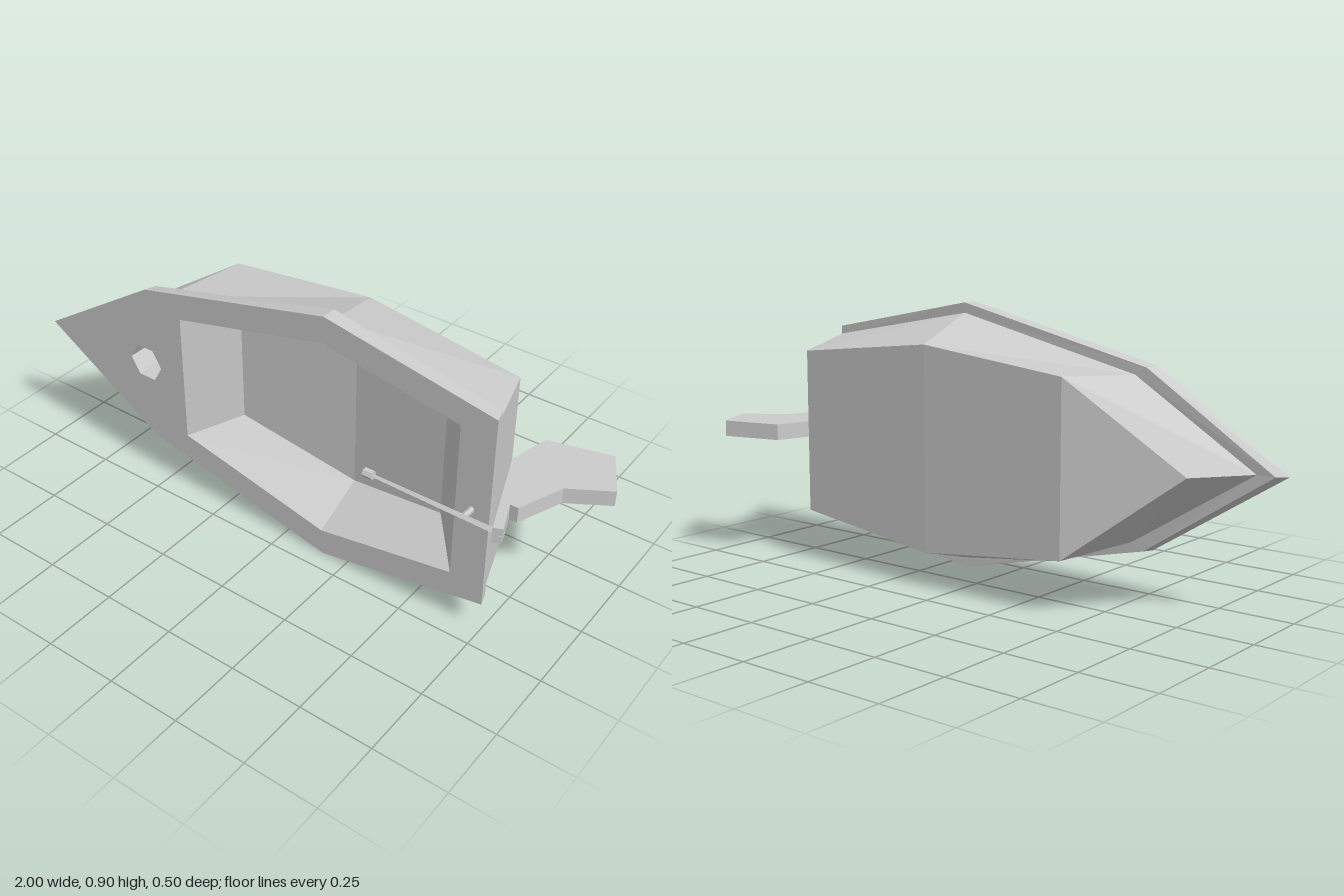
import * as THREE from 'three';

const CY = 0.45; // centreline height
const material = new THREE.MeshStandardMaterial({ color: 0xcccccc, flatShading: true });

// Closed seven-point ring from four stations [x, halfWidth, z]: bow, fore, mid, stern
function ring([bow, fore, mid, stern]) {
  const at = ([x, h, z], s) => [x, CY + s * h, z];
  return [at(bow, 1), at(fore, 1), at(mid, 1), at(stern, 1), at(stern, -1), at(mid, -1), at(fore, -1)];
}

// Quad walls between successive rings
function loft(...rings) {
  const out = [];
  for (let r = 0; r + 1 < rings.length; r++) {
    const a = rings[r], b = rings[r + 1];
    a.forEach((p, i) => {
      const j = (i + 1) % a.length;
      out.push(p, a[j], b[j], p, b[j], b[i]);
    });
  }
  return out;
}

// Panels that close a ring; they may crease at the stations
function cap(r, flip) {
  const tris = [[0, 1, 6], [1, 2, 5], [1, 5, 6], [2, 3, 4], [2, 4, 5]];
  return tris.flatMap(([a, b, c]) => (flip ? [r[a], r[c], r[b]] : [r[a], r[b], r[c]]));
}

function add(group, name, geometry) {
  const mesh = new THREE.Mesh(geometry, material);
  mesh.name = name;
  group.add(mesh);
  return mesh;
}

function fromPoints(points) {
  const g = new THREE.BufferGeometry();
  g.setAttribute('position', new THREE.Float32BufferAttribute(points.flat(), 3));
  g.computeVertexNormals();
  return g;
}

const outline = (pts) => pts.map(([x, y]) => new THREE.Vector2(x, y));

// Four- or more-sided rod along x
function rod(group, name, x0, x1, r0, r1, z, sides = 4) {
  const g = new THREE.CylinderGeometry(r1, r0, x1 - x0, sides);
  g.rotateZ(-Math.PI / 2);
  g.translate((x0 + x1) / 2, CY, z);
  return add(group, name, g);
}

export function createModel() {
  const boat = new THREE.Group();
  boat.name = 'boat';
  const deckZ = 0.185;

  // Rings from the deck edge down to the bottom
  const deckEdge = ring([[-1, 0, deckZ], [-0.55, 0.287, deckZ], [0.16, 0.45, deckZ], [0.75, 0.34, deckZ]]);
  const rimLow = ring([[-0.97, 0, 0.155], [-0.54, 0.284, 0.143], [0.16, 0.449, 0.132], [0.737, 0.34, 0.142]]);
  const hullTop = ring([[-0.91, 0, 0.155], [-0.5, 0.26, 0.142], [0.16, 0.415, 0.133], [0.734, 0.313, 0.142]]);
  const hullLow = ring([[-0.78, 0, -0.015], [-0.43, 0.275, -0.142], [0.1, 0.335, -0.142], [0.652, 0.277, -0.114]]);
  add(boat, 'rim', fromPoints(loft(deckEdge, rimLow, hullTop)));
  add(boat, 'hull', fromPoints([...loft(hullTop, hullLow), ...cap(hullLow)]));

  // Cockpit well
  const opening = ring([[-0.405, 0, deckZ], [-0.405, 0.228, deckZ], [0.155, 0.357, deckZ], [0.635, 0.273, deckZ]]);
  const floor = ring([[-0.275, 0, 0.04], [-0.275, 0.17, 0.04], [0.155, 0.267, 0.005], [0.505, 0.205, 0.04]]);
  add(boat, 'cockpit', fromPoints([...loft(floor, opening), ...cap(floor, true)]));

  // Mast socket, hexagonal and recessed
  const hex = (r, z) => Array.from({ length: 6 }, (_, i) => {
    const a = -i * Math.PI / 3;
    return [-0.57 + r * Math.cos(a), CY + r * Math.sin(a), z];
  });
  const socketTop = hex(0.066, deckZ), socketLow = hex(0.066, 0.085);
  const socketFloor = [];
  for (let i = 1; i < 5; i++) socketFloor.push(socketLow[0], socketLow[i + 1], socketLow[i]);
  add(boat, 'mastSocket', fromPoints([...loft(socketLow, socketTop), ...socketFloor]));

  // Deck with openings for cockpit and mast
  const deck = new THREE.Shape(outline(deckEdge));
  deck.holes.push(new THREE.Path(outline(opening)), new THREE.Path(outline(socketTop)));
  add(boat, 'deck', new THREE.ShapeGeometry(deck).translate(0, 0, deckZ));

  // Rudder: side profile in x and z, extruded across the centreline
  const profile = [[0.715, -0.2], [0.92, -0.253], [1, -0.105], [0.87, -0.025], [0.81, 0.13],
    [0.783, 0.13], [0.823, 0.235], [0.795, 0.248], [0.68, -0.06]];
  const rudder = new THREE.ExtrudeGeometry(new THREE.Shape(outline(profile.map(([x, z]) => [x, -z]))),
    { depth: 0.054, bevelEnabled: false });
  rudder.rotateX(-Math.PI / 2).translate(0, CY - 0.027, 0);
  add(boat, 'rudder', rudder);

  // Tiller with its grip and support pin
  rod(boat, 'tiller', 0.37, 0.82, 0.007, 0.012, 0.228);
  rod(boat, 'tillerGrip', 0.345, 0.378, 0.015, 0.015, 0.228, 6);
  const pin = new THREE.CylinderGeometry(0.01, 0.01, 0.045, 6);
  pin.rotateX(Math.PI / 2).translate(0.69, CY, 0.205);
  add(boat, 'tillerPin', pin);

  return boat;
}
